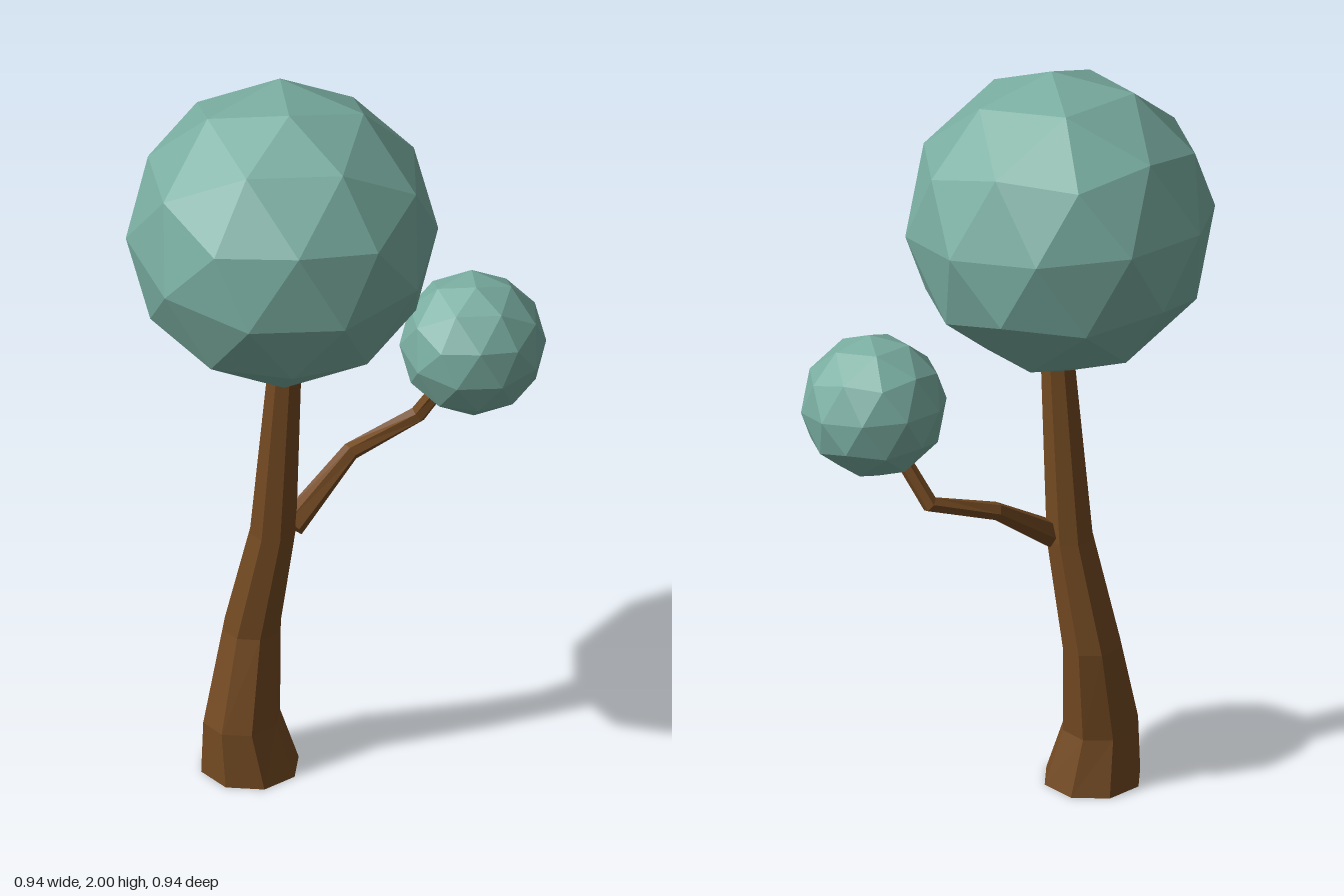
import * as THREE from 'three';

const bark = new THREE.MeshStandardMaterial({ name: 'bark brown', color: 0x744a22, flatShading: true });
const leaf = new THREE.MeshStandardMaterial({ name: 'leaf teal', color: 0x7aaea1, flatShading: true });
const UP = new THREE.Vector3(0, 1, 0);

// Bends a capped cylinder through rings of [x, y, z, radiusX, radiusZ]
function limb(name, rings, sides, tilted) {
  const last = rings.length - 1;
  const centres = rings.map(([x, y, z]) => new THREE.Vector3(x, y, z));
  const turns = centres.map((c, i) => {
    const q = new THREE.Quaternion();
    if (!tilted) return q;
    const dir = new THREE.Vector3();
    if (i > 0) dir.add(c.clone().sub(centres[i - 1]).normalize());
    if (i < last) dir.add(centres[i + 1].clone().sub(c).normalize());
    return q.setFromUnitVectors(UP, dir.normalize());
  });
  const geometry = new THREE.CylinderGeometry(1, 1, 1, sides, last);
  const pos = geometry.attributes.position;
  const v = new THREE.Vector3();
  for (let k = 0; k < pos.count; k++) {
    const i = Math.round((pos.getY(k) + 0.5) * last);
    v.set(pos.getX(k) * rings[i][3], 0, pos.getZ(k) * rings[i][4]);
    v.applyQuaternion(turns[i]).add(centres[i]);
    pos.setXYZ(k, v.x, v.y, v.z);
  }
  geometry.computeVertexNormals();
  const mesh = new THREE.Mesh(geometry, bark);
  mesh.name = name;
  return mesh;
}

// Orthonormal frame with y along "up" and x towards "side"
function frame(up, side) {
  const y = up.clone().normalize();
  const x = side.clone().addScaledVector(y, -side.dot(y)).normalize();
  return new THREE.Matrix4().makeBasis(x, y, x.clone().cross(y));
}

// Faceted ball of leaves, with one corner pointing almost straight up
function crown(name, radius, x, y, z) {
  const t = (1 + Math.sqrt(5)) / 2;
  const from = frame(new THREE.Vector3(0, 1, t), new THREE.Vector3(0, -1, t));
  const angle = THREE.MathUtils.degToRad(20);
  const to = frame(new THREE.Vector3(0.125, 1, 0.135),
    new THREE.Vector3(Math.cos(angle), 0, Math.sin(angle)));
  const geometry = new THREE.IcosahedronGeometry(radius, 1);
  geometry.applyMatrix4(to.multiply(from.transpose()));
  const mesh = new THREE.Mesh(geometry, leaf);
  mesh.name = name;
  mesh.position.set(x, y, z);
  return mesh;
}

export function createModel() {
  const tree = new THREE.Group();
  tree.name = 'tree';

  // Trunk flares at the foot and leans as it rises
  tree.add(limb('trunk', [
    [-0.147, 0, 0.12, 0.13, 0.13],
    [-0.162, 0.15, 0.137, 0.1, 0.107],
    [-0.157, 0.4, 0.093, 0.078, 0.078],
    [-0.098, 0.7, 0.087, 0.063, 0.061],
    [-0.056, 1.26, 0.095, 0.044, 0.042],
  ], 8, false));

  // Side branch rises backwards, then kinks up into the small crown
  tree.add(limb('branch', [
    [-0.06, 0.71, 0.06, 0.036, 0.036],
    [0.01, 0.85, -0.13, 0.024, 0.024],
    [0.125, 0.915, -0.28, 0.023, 0.023],
    [0.23, 1.08, -0.288, 0.02, 0.02],
  ], 6, true));

  tree.add(crown('largeCrown', 0.402, -0.07, 1.6, 0.09));
  tree.add(crown('smallCrown', 0.189, 0.28, 1.17, -0.288));
  return tree;
}
